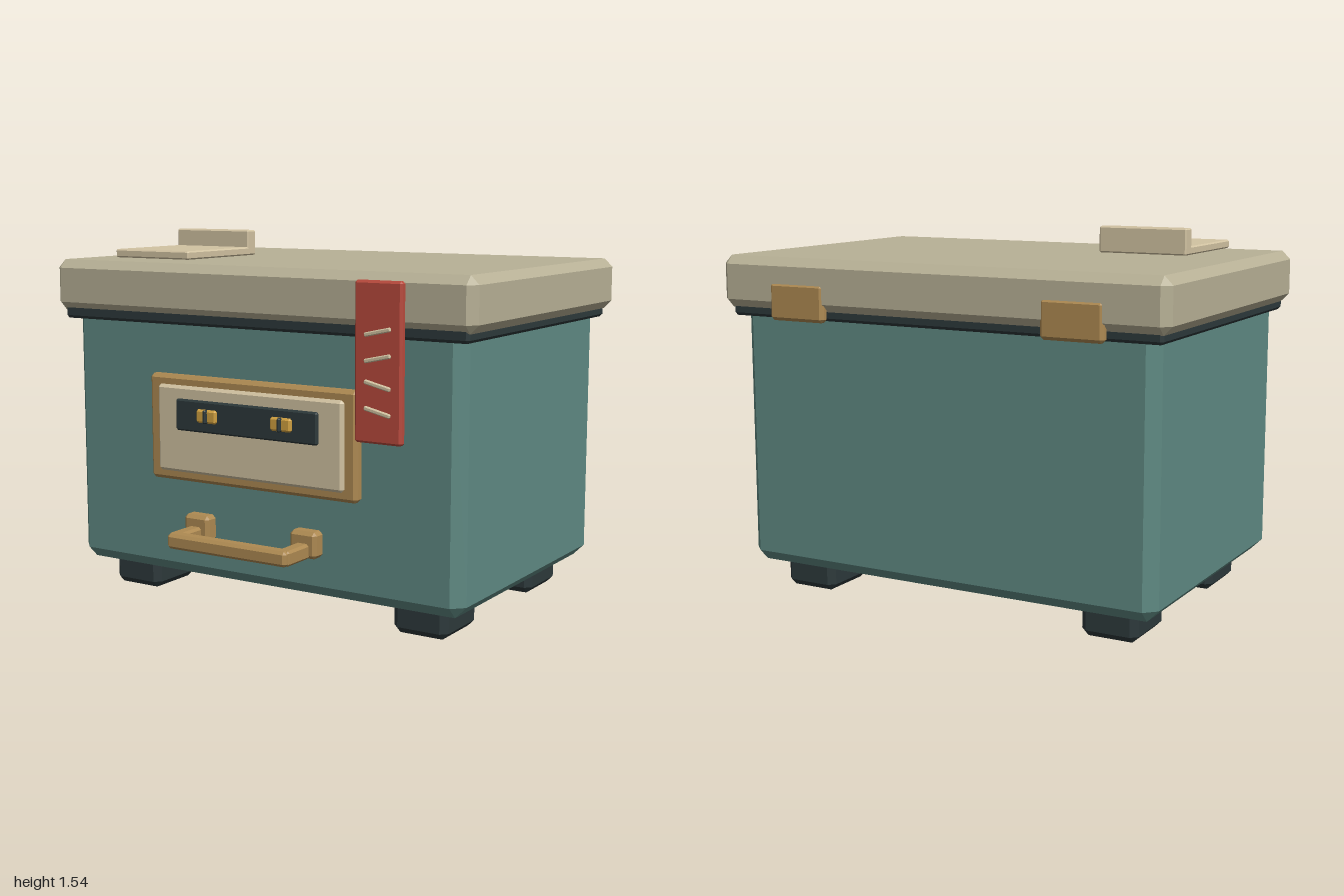
import * as THREE from 'three';
import { ConvexGeometry } from 'three/addons/geometries/ConvexGeometry.js';

const paint = (color) => new THREE.MeshStandardMaterial({ color, flatShading: true });

// Box with chamfered edges and corners, centred on the origin
function chamferBox(w, h, d, c) {
  const points = [];
  for (const sx of [-1, 1]) for (const sy of [-1, 1]) for (const sz of [-1, 1]) {
    const x = w / 2, y = h / 2, z = d / 2;
    points.push(
      new THREE.Vector3(sx * x, sy * (y - c), sz * (z - c)),
      new THREE.Vector3(sx * (x - c), sy * y, sz * (z - c)),
      new THREE.Vector3(sx * (x - c), sy * (y - c), sz * z));
  }
  return new ConvexGeometry(points);
}

export function createModel() {
  const model = new THREE.Group();
  model.name = 'storageBox';

  const teal = paint(0x5f8a83), lidTan = paint(0xb8b196), brass = paint(0xae8a52);
  const gold = paint(0xd0a040), cream = paint(0xd2c3a2), red = paint(0xb94a3d), dark = paint(0x2d393b);

  // Adds a chamfered box given its [min, max] range on each axis
  function block(name, material, [x0, x1], [y0, y1], [z0, z1], chamfer, parent = model) {
    const mesh = new THREE.Mesh(chamferBox(x1 - x0, y1 - y0, z1 - z0, chamfer), material);
    mesh.position.set((x0 + x1) / 2, (y0 + y1) / 2, (z0 + z1) / 2);
    mesh.name = name;
    parent.add(mesh);
    return mesh;
  }
  function group(name) {
    const g = new THREE.Group();
    g.name = name;
    model.add(g);
    return g;
  }
  const around = (centre, size) => [centre - size / 2, centre + size / 2];

  // Main case, seal and lid
  block('body', teal, [-0.935, 0.935], [0.12, 1.235], [-0.69, 0.547], 0.048);
  block('seal', dark, [-0.965, 0.965], [1.175, 1.25], [-0.718, 0.575], 0.012);
  block('lid', lidTan, [-1, 1], [1.21, 1.425], [-0.75, 0.6], 0.035);

  // Feet
  for (const x of [-0.703, 0.703]) for (const z of [-0.459, 0.316])
    block('foot', dark, around(x, 0.24), [0, 0.15], around(z, 0.273), 0.027);

  // Rear hinges
  for (const x of [-0.617, 0.617])
    block('hinge', brass, around(x, 0.262), [1.17, 1.325], [-0.757, -0.712], 0.014);

  // Angled plate lying on the lid
  const topPlate = group('topPlate');
  block('plateBase', cream, [-0.755, -0.37], [1.435, 1.47], [0, 0.483], 0.006, topPlate);
  block('plateUpright', cream, [-0.755, -0.37], [1.435, 1.543], [-0.003, 0.056], 0.006, topPlate);

  // Front panel: frame, face, dark strip and two clips
  const panel = group('frontPanel');
  block('panelFrame', brass, [-0.503, 0.5], [0.53, 0.97], [0.53, 0.585], 0.015, panel);
  block('panelFace', cream, [-0.45, 0.447], [0.57, 0.93], [0.57, 0.602], 0.012, panel);
  block('panelStrip', dark, [-0.345, 0.34], [0.748, 0.878], [0.59, 0.616], 0.007, panel);
  for (const x of [-0.183, 0.177]) {
    block('clip', gold, around(x, 0.098), [0.79, 0.845], [0.605, 0.63], 0.008, panel);
    block('clipPin', dark, around(x, 0.016), [0.79, 0.845], [0.61, 0.643], 0.005, panel);
  }

  // Hanging strap with slanted stitches
  const strap = group('strap');
  block('strapBand', red, [0.512, 0.716], [0.782, 1.395], [0.59, 0.625], 0.009, strap);
  [[1.205, 0.22], [1.106, 0.22], [1.005, -0.22], [0.905, -0.22]].forEach(([y, tilt]) => {
    block('stitch', cream, around(0.615, 0.115), around(y, 0.017), [0.615, 0.635], 0.004, strap)
      .rotation.z = tilt;
  });

  // Pull handle: mounts, arms and grip
  const handle = group('handle');
  for (const s of [-1, 1]) {
    block('handleMount', brass, around(s * 0.261, 0.125), [0.288, 0.397], [0.53, 0.602], 0.015, handle);
    block('handleArm', brass, around(s * 0.263, 0.06), [0.288, 0.35], [0.59, 0.745], 0.01, handle);
  }
  block('handleGrip', brass, [-0.288, 0.288], [0.288, 0.35], [0.7, 0.762], 0.012, handle);

  return model;
}
